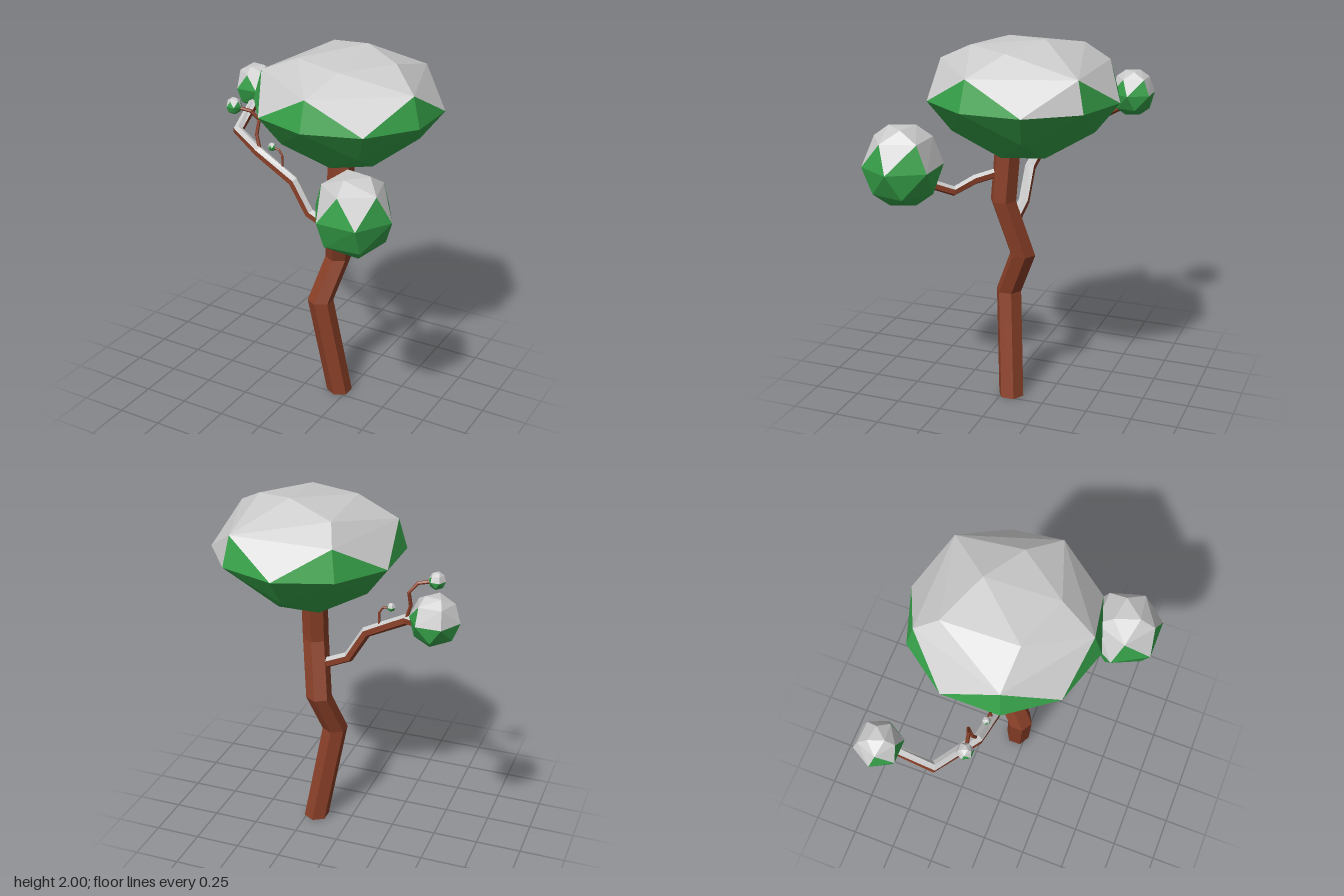
import * as THREE from 'three';
import { ConvexGeometry } from 'three/addons/geometries/ConvexGeometry.js';

const mat = (color) => new THREE.MeshStandardMaterial({ color, flatShading: true });
const SNOW = mat(0xcccccc), LEAF = mat(0x37a34a), BARK = mat(0x8a4028);
const V = (p) => new THREE.Vector3(...p);

// Splits triangles into a snowy part (facing up) and a bare part
function snowSplit(name, geometry, bare, isSnow) {
  const g = geometry.index ? geometry.toNonIndexed() : geometry;
  const p = g.attributes.position, parts = [[], []];
  const tri = new THREE.Triangle(), n = new THREE.Vector3(), c = new THREE.Vector3();
  for (let i = 0; i < p.count; i += 3) {
    tri.setFromAttributeAndIndices(p, i, i + 1, i + 2);
    tri.getNormal(n);
    tri.getMidpoint(c);
    parts[isSnow(n, c) ? 1 : 0].push(tri.a.clone(), tri.b.clone(), tri.c.clone());
  }
  const group = new THREE.Group();
  group.name = name;
  parts.forEach((pts, k) => {
    if (!pts.length) return;
    const part = new THREE.BufferGeometry().setFromPoints(pts);
    part.computeVertexNormals();
    const mesh = new THREE.Mesh(part, k ? SNOW : bare);
    mesh.name = name + (k ? 'Snow' : 'Bare');
    group.add(mesh);
  });
  return group;
}

// Points on horizontal rings: [height, radius, count, start angle in degrees]
function ringPoints(center, rings, scale = 1) {
  const pts = [];
  for (const [y, r, n, start] of rings)
    for (let i = 0; i < n; i++) {
      const a = THREE.MathUtils.degToRad(start + (i * 360) / n);
      pts.push(V([center[0] + Math.cos(a) * r * scale, center[1] + y * scale, center[2] + Math.sin(a) * r * scale]));
    }
  return pts;
}

// Six-sided limb along a path, capped at both ends
function limbGeometry(path, radius, { level = false, ref = [0, 1, 0] } = {}) {
  const pts = path.map(V), n = 6, pos = [], idx = [];
  pts.forEach((p, i) => {
    const t = level ? V([0, 1, 0])
      : pts[Math.min(i + 1, pts.length - 1)].clone().sub(pts[Math.max(i - 1, 0)]).normalize();
    const u = t.clone().cross(V(ref)).normalize(), v = u.clone().cross(t);
    for (let k = 0; k < n; k++) {
      const a = (k / n) * Math.PI * 2;
      const q = p.clone().addScaledVector(u, Math.sin(a) * radius).addScaledVector(v, Math.cos(a) * radius);
      pos.push(q.x, q.y, q.z);
    }
  });
  const last = (pts.length - 1) * n;
  for (let i = 0; i < last; i += n)
    for (let k = 0; k < n; k++) {
      const a = i + k, b = i + ((k + 1) % n);
      idx.push(a, a + n, b, b, a + n, b + n);
    }
  for (let k = 1; k < n - 1; k++) idx.push(0, k, k + 1, last, last + k + 1, last + k);
  // Keep the winding outward
  const g = new THREE.BufferGeometry();
  g.setAttribute('position', new THREE.Float32BufferAttribute(pos, 3));
  const A = V(pos.slice(0, 3)), B = V(pos.slice(3, 6)), C = V(pos.slice(n * 3, n * 3 + 3));
  const out = C.clone().sub(A).cross(B.clone().sub(A)).dot(A.clone().add(B).multiplyScalar(0.5).sub(pts[0]));
  if (out < 0) for (let i = 0; i < idx.length; i += 3) [idx[i], idx[i + 1]] = [idx[i + 1], idx[i]];
  g.setIndex(idx);
  return g;
}

export function createModel() {
  const tree = new THREE.Group();
  tree.name = 'snowyTree';
  const noSnow = () => false;

  // Trunk, bent, with level cross-sections
  tree.add(snowSplit('trunk', limbGeometry(
    [[0.2, 0, -0.05], [0.1, 0.58, 0], [0.155, 0.82, -0.1], [0.205, 1.13, -0.01], [0.2, 1.5, -0.04]],
    0.071, { level: true, ref: [0, 0, 1] }), BARK, noSnow));

  // Branches with snow along the top
  const branches = {
    rightBranch: [[[0.17, 0.99, -0.05], [0, 1.065, -0.05], [-0.1, 1.23, -0.05], [-0.33, 1.35, -0.07],
      [-0.56, 1.385, -0.22], [-0.57, 1.5, -0.42]], 0.03],
    leftBranch: [[[0.2, 1.285, 0], [0.28, 1.25, 0.12], [0.37, 1.205, 0.2], [0.46, 1.27, 0.34]], 0.026],
  };
  for (const [name, [path, r]] of Object.entries(branches))
    tree.add(snowSplit(name, limbGeometry(path, r), BARK, (n) => n.y > 0.4));

  // Thin twigs
  const twigs = {
    largeTwig: [[[-0.33, 1.36, -0.08], [-0.355, 1.44, -0.09], [-0.35, 1.52, -0.11], [-0.39, 1.57, -0.09],
      [-0.47, 1.585, -0.07]], 0.01],
    smallTwig: [[[-0.175, 1.28, -0.06], [-0.175, 1.36, -0.06], [-0.195, 1.39, -0.06], [-0.24, 1.4, -0.06]], 0.006],
  };
  for (const [name, [path, r]] of Object.entries(twigs))
    tree.add(snowSplit(name, limbGeometry(path, r, { ref: [0, 0, 1] }), BARK, noSnow));

  // Main crown: faceted flattened ball with an uneven top
  const crown = ringPoints([0.19, 1.7, -0.12], [
    [0.16, 0.46, 5, 90], [0, 0.505, 10, 90], [-0.16, 0.38, 5, 54], [-0.29, 0.19, 5, 90],
  ]);
  crown.push(...[[0.235, 2, -0.25], [0.46, 1.96, -0.12], [0.27, 1.955, 0.14], [-0.02, 1.96, 0.04],
    [-0.03, 1.95, -0.37]].map(V));
  tree.add(snowSplit('crown', new ConvexGeometry(crown), LEAF,
    (n, c) => n.y > 0.4 || (n.y > 0.05 && c.x > 0.45 && c.z < -0.3 && c.z > -0.5)));

  // Leaf balls at the branch and twig ends
  const ball = [[0.97, 0.38, 3, 100], [0.68, 0.76, 5, 20], [0, 1, 6, 0], [-0.66, 0.77, 5, 50], [-0.97, 0.36, 3, 40]];
  const balls = {
    leftLeafBall: [[0.51, 1.36, 0.42], 0.21],
    rightLeafBall: [[-0.595, 1.57, -0.48], 0.127],
    largeTwigLeaf: [[-0.485, 1.59, -0.07], 0.046],
    smallTwigLeaf: [[-0.24, 1.4, -0.06], 0.023],
  };
  for (const [name, [center, r]] of Object.entries(balls))
    tree.add(snowSplit(name, new ConvexGeometry(ringPoints(center, ball, r)), LEAF, (n) => n.y > 0.25));

  return tree;
}
